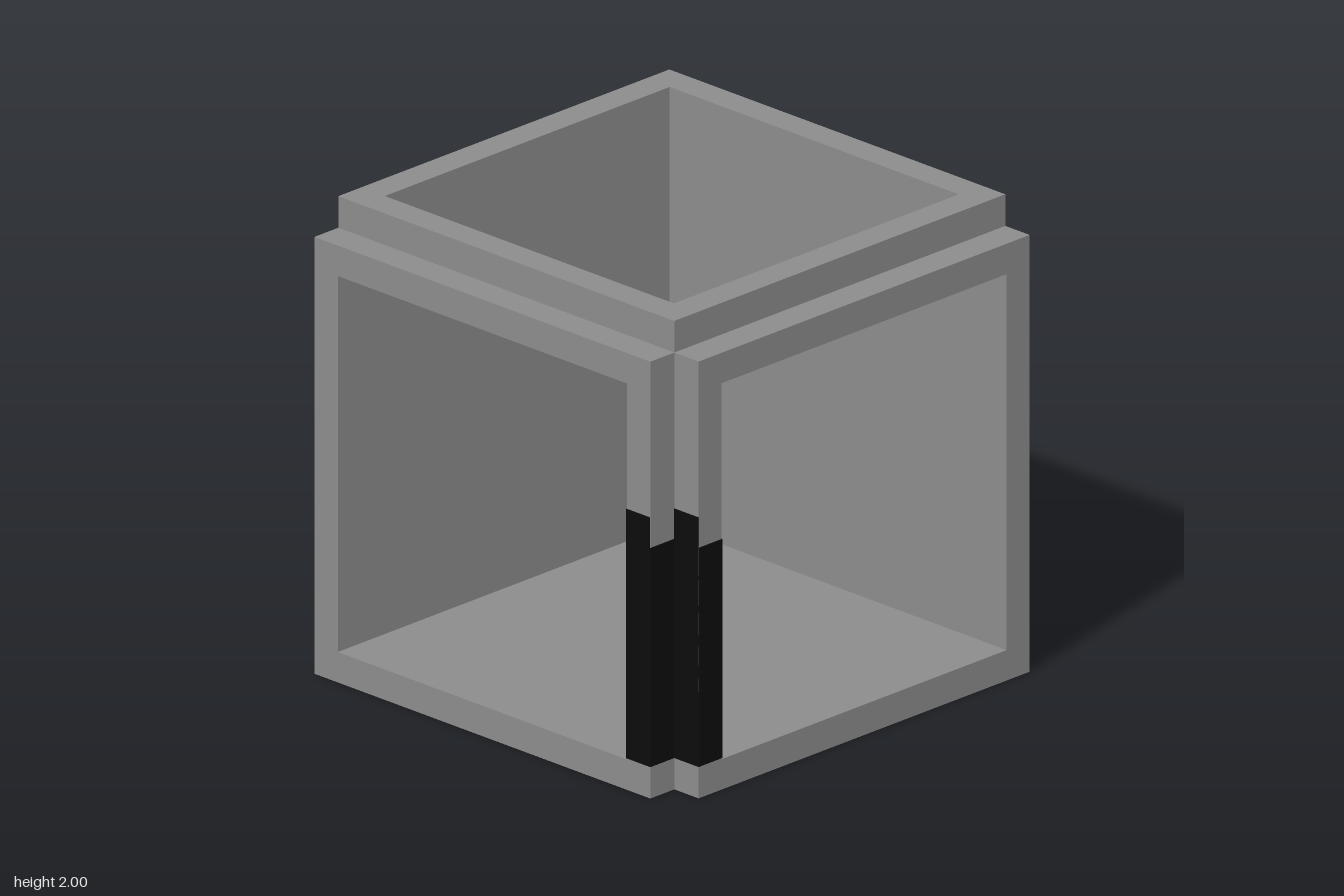
import * as THREE from 'three';

const OUT = 0.865;            // extent of each face beside the notched edges
const LO = -0.87, HI = 0.735; // window opening
const SILL = 0.135;

export function createModel() {
  const grey = new THREE.MeshStandardMaterial({ color: 0x8c8c8c });
  grey.name = 'grey';
  const black = new THREE.MeshStandardMaterial({ color: 0x0c0c0c });
  black.name = 'black';

  const model = new THREE.Group();
  model.name = 'openCube';

  const box = (name, parent, material, [x0, x1], [y0, y1], [z0, z1]) => {
    const mesh = new THREE.Mesh(new THREE.BoxGeometry(x1 - x0, y1 - y0, z1 - z0), material);
    mesh.position.set((x0 + x1) / 2, (y0 + y1) / 2, (z0 + z1) / 2);
    mesh.name = name;
    parent.add(mesh);
  };

  // Square window frame, extruded from the window plane to the outer face
  const outline = (a, b) => [[a, a], [b, a], [b, b], [a, b]].map(([x, y]) => new THREE.Vector2(x, y));
  const shape = new THREE.Shape(outline(-1, OUT));
  shape.holes.push(new THREE.Path(outline(LO, HI).reverse()));
  const frameGeometry = new THREE.ExtrudeGeometry(shape, { depth: 1 - HI, bevelEnabled: false });
  frameGeometry.translate(0, 0, HI);

  // Three frames, each with its opposite solid wall, turned about the cube's diagonal
  const diagonal = new THREE.Vector3(1, 1, 1).normalize();
  [['front', 'back'], ['right', 'left'], ['top', 'bottom']].forEach(([open, solid], i) => {
    const pair = new THREE.Group();
    pair.name = open + 'Pair';
    const frame = new THREE.Mesh(frameGeometry, grey);
    frame.name = open + 'Frame';
    pair.add(frame);
    box(solid + 'Wall', pair, grey, [-1, OUT], [-1, OUT], [-1, LO]);
    pair.quaternion.setFromAxisAngle(diagonal, i * Math.PI * 2 / 3);
    pair.position.y = 1;
    model.add(pair);
  });

  // Black coating on the corner post, with a stepped upper edge
  const E = 0.002, HIGH = 1.2, LOW = 1.07;
  const post = new THREE.Group();
  post.name = 'postCoating';
  model.add(post);
  box('frontLeg', post, black, [HI - E, OUT - E], [SILL, HIGH], [HI - E, 1 + E]);
  box('frontLegSide', post, black, [OUT - E, OUT + E], [SILL, LOW], [OUT, 1 + E]);
  box('sideLeg', post, black, [OUT - E, 1 + E], [SILL, LOW], [HI - E, OUT - E]);
  box('sideLegFront', post, black, [OUT, 1], [SILL, HIGH], [OUT - E, OUT + E]);

  return model;
}
